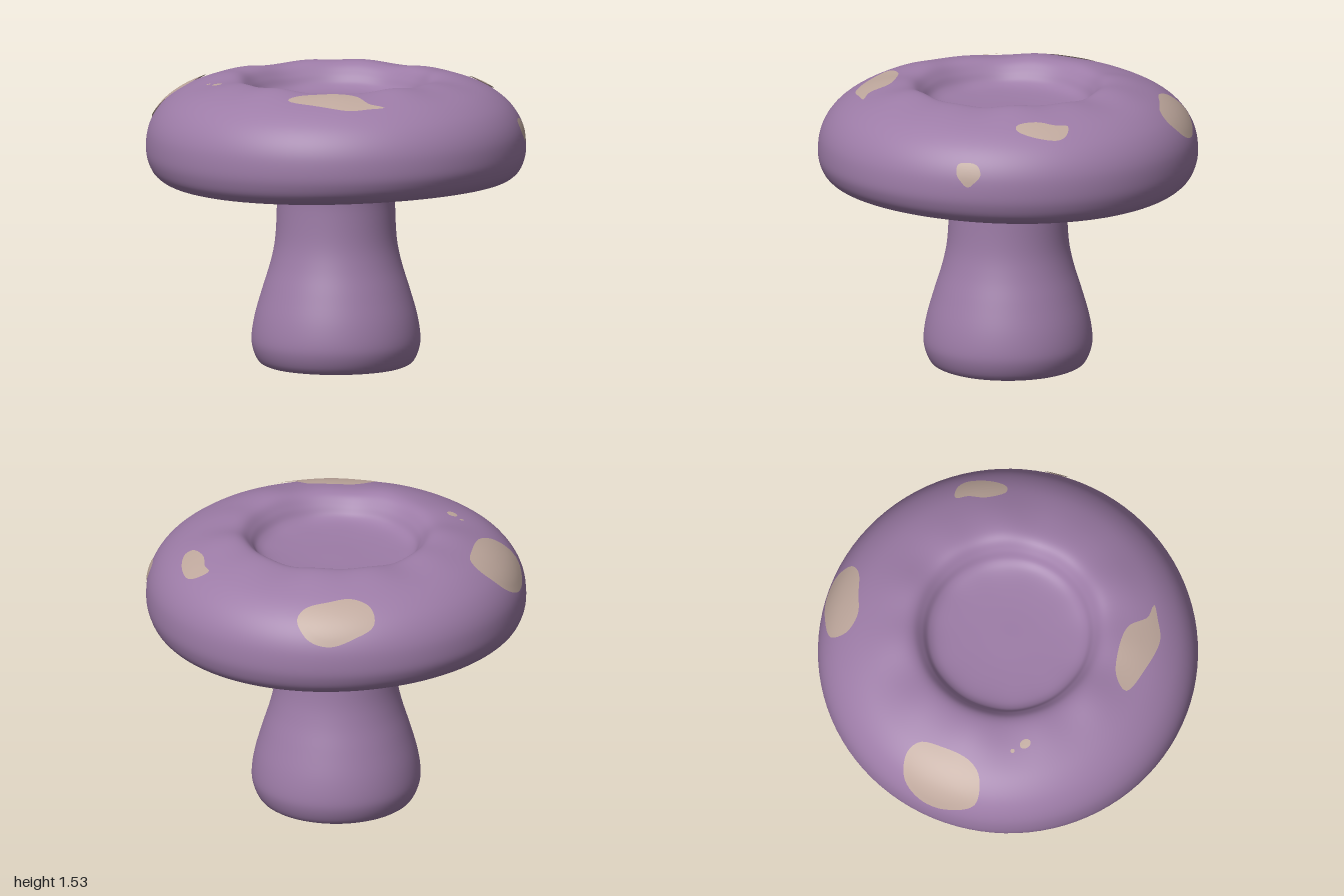
import * as THREE from 'three';
import { mergeVertices } from 'three/addons/utils/BufferGeometryUtils.js';

const SEGMENTS = 96;
const spline = (pairs, n) =>
  new THREE.SplineCurve(pairs.map(([r, y]) => new THREE.Vector2(r, y))).getPoints(n)
    .map((p) => new THREE.Vector2(Math.max(p.x, 0), p.y));

// Cap cross-section: underside, rim, rounded top, sunken dish
const CAP = spline([
  [0, 1.01], [0.3, 1.01], [0.5, 0.99], [0.75, 0.977], [0.88, 0.985], [0.95, 1.025],
  [0.985, 1.09], [0.995, 1.16], [0.985, 1.25], [0.95, 1.33], [0.89, 1.4], [0.8, 1.46],
  [0.68, 1.505], [0.57, 1.525], [0.5, 1.515], [0.45, 1.47], [0.41, 1.42], [0.34, 1.395],
  [0.18, 1.385], [0, 1.385],
], 110);

// Stem cross-section, from foot to neck
const STEM = spline([
  [0.365, 0.003], [0.405, 0.025], [0.435, 0.09], [0.442, 0.16], [0.425, 0.27], [0.385, 0.41],
  [0.345, 0.54], [0.32, 0.66], [0.311, 0.8], [0.312, 0.92], [0.335, 0.99], [0.37, 1.03],
], 50);

// Gentle hand-made unevenness: wavy crest, underside lifted at the sides
function warp(p) {
  const a = Math.atan2(p.z, p.x);
  const r = Math.hypot(p.x, p.z);
  const ring = Math.exp(-(((r - 0.58) / 0.16) ** 2));
  const top = THREE.MathUtils.smoothstep(p.y, 1.2, 1.45);
  const low = 1 - THREE.MathUtils.smoothstep(p.y, 1.0, 1.2);
  p.y += top * ring * 0.007 * (Math.sin(5 * a + 1) + 0.6 * Math.sin(11 * a));
  p.y += low * 0.014 * Math.cos(2 * a) * r * r;
  return p;
}

function lathe(profile, rule) {
  let geo = new THREE.LatheGeometry(profile, SEGMENTS);
  geo.deleteAttribute('uv');
  geo.deleteAttribute('normal');
  const pos = geo.attributes.position;
  const p = new THREE.Vector3();
  if (rule) {
    for (let i = 0; i < pos.count; i++) {
      rule(p.fromBufferAttribute(pos, i));
      pos.setXYZ(i, p.x, p.y, p.z);
    }
  }
  geo = mergeVertices(geo, 1e-4);
  geo.computeVertexNormals();
  return geo;
}

// Height of the cap's outer top at radius r
const crest = CAP.findIndex((p) => p.y > 1.522);
const widest = CAP.reduce((best, p, i) => (p.x > CAP[best].x ? i : best), 0);
function capHeight(r) {
  for (let i = widest; i <= crest + 8; i++) {
    const a = CAP[i], b = CAP[i + 1];
    if (r <= a.x && r >= b.x) return THREE.MathUtils.lerp(a.y, b.y, (a.x - r) / (a.x - b.x));
  }
  return CAP[widest].y;
}

// Thin patch that hugs the cap, from an outline of [x, z] points
function spotGeometry(outline) {
  const N = 48, RINGS = 8;
  const curve = new THREE.CatmullRomCurve3(outline.map(([x, z]) => new THREE.Vector3(x, 0, z)), true);
  const edge = curve.getSpacedPoints(N).slice(0, N);
  const centre = edge.reduce((s, p) => s.add(p), new THREE.Vector3()).divideScalar(N);
  const verts = [], index = [];
  const push = (p) => {
    const r = Math.hypot(p.x, p.z);
    p.y = capHeight(r);
    warp(p);
    const k = (r + 0.004) / r;
    verts.push(p.x * k, p.y + 0.006, p.z * k);
  };
  push(centre.clone());
  for (let j = 1; j <= RINGS; j++) edge.forEach((e) => push(centre.clone().setY(0).lerp(e, j / RINGS)));
  for (let i = 0; i < N; i++) {
    const n = (i + 1) % N;
    index.push(0, 1 + i, 1 + n);
    for (let j = 0; j < RINGS - 1; j++) {
      const a = 1 + j * N + i, b = 1 + j * N + n;
      index.push(a, a + N, b + N, a, b + N, b);
    }
  }
  const geo = new THREE.BufferGeometry();
  geo.setAttribute('position', new THREE.Float32BufferAttribute(verts, 3));
  geo.setIndex(index);
  geo.computeVertexNormals();
  return geo;
}

const oval = (x, z, rx, rz) => Array.from({ length: 8 }, (_, i) => {
  const a = (i / 8) * Math.PI * 2;
  return [x + rx * Math.cos(a), z - rz * Math.sin(a)];
});

const SPOTS = {
  backRightSpot: [[-0.55, -0.785], [-0.65, -0.73], [-0.73, -0.63], [-0.775, -0.5], [-0.71, -0.46],
    [-0.61, -0.5], [-0.54, -0.6], [-0.47, -0.71], [-0.475, -0.77]],
  backLeftSpot: [[0.27, -0.83], [0.21, -0.82], [0.17, -0.77], [0.23, -0.74], [0.3, -0.68],
    [0.41, -0.65], [0.43, -0.68], [0.38, -0.76]],
  frontRightSpot: [[-0.8, 0.27], [-0.87, 0.35], [-0.86, 0.46], [-0.77, 0.6], [-0.64, 0.68],
    [-0.56, 0.59], [-0.56, 0.5], [-0.64, 0.36], [-0.72, 0.27]],
  frontLeftSpot: [[0.7, 0.3], [0.65, 0.335], [0.53, 0.33], [0.4, 0.43], [0.33, 0.53], [0.33, 0.62],
    [0.48, 0.57], [0.64, 0.47], [0.69, 0.37], [0.72, 0.29]],
  sideSpot: [[0.755, -0.601], [0.768, -0.611], [0.754, -0.644], [0.72, -0.683], [0.682, -0.706],
    [0.682, -0.682], [0.711, -0.64]],
  smallSpot: oval(-0.27, 0.585, 0.03, 0.023),
  tinySpot: oval(-0.345, 0.58, 0.011, 0.011),
};

export function createModel() {
  const purple = new THREE.MeshStandardMaterial({ color: 0x9d7ca7 });
  purple.name = 'purple skin';
  const beige = new THREE.MeshStandardMaterial({ color: 0xbfa89d, side: THREE.DoubleSide });
  beige.name = 'beige spots';

  const model = new THREE.Group();
  model.name = 'mushroom';
  const add = (name, geo, mat) => {
    const mesh = new THREE.Mesh(geo, mat);
    mesh.name = name;
    model.add(mesh);
    return mesh;
  };

  add('cap', lathe(CAP, warp), purple);
  add('stem', lathe(STEM), purple);

  // Flat sole closing the stem
  const sole = add('sole', new THREE.CircleGeometry(0.365, SEGMENTS), purple);
  sole.rotation.x = Math.PI / 2;
  sole.position.y = 0.003;

  // Spots on the cap
  for (const [name, outline] of Object.entries(SPOTS)) add(name, spotGeometry(outline), beige);
  return model;
}
